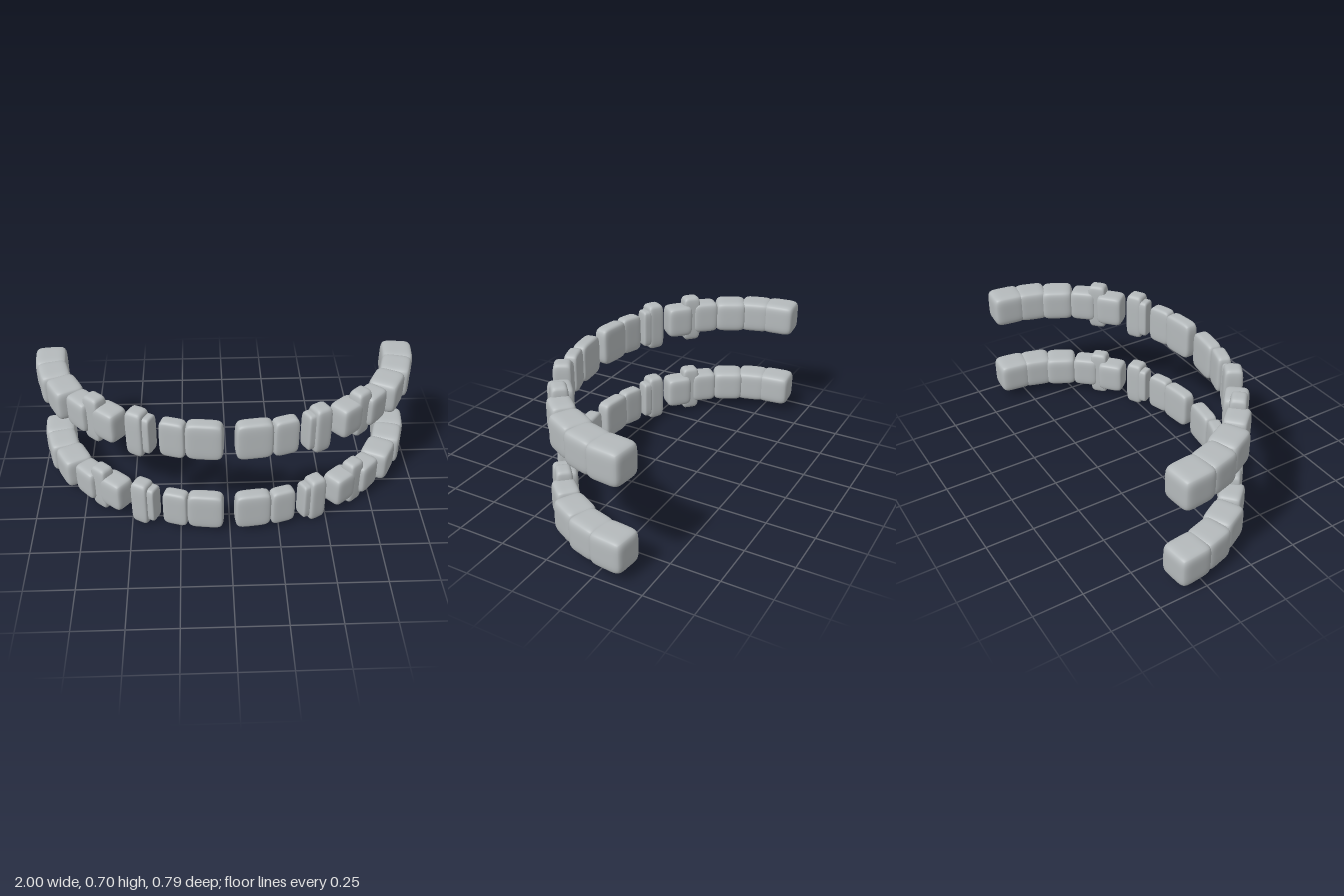
import * as THREE from 'three';
import { mergeVertices } from 'three/addons/utils/BufferGeometryUtils.js';

// Soft rounded block: a cube projected onto a superellipsoid.
function softBlock(power = 5.5, segments = 14) {
  const geo = new THREE.BoxGeometry(2, 2, 2, segments, segments, segments);
  geo.deleteAttribute('uv');
  geo.deleteAttribute('normal');
  const pos = geo.attributes.position;
  const v = new THREE.Vector3();
  const crowd = (t) => Math.sin((t * Math.PI) / 2); // more rows near the edges
  for (let i = 0; i < pos.count; i++) {
    v.fromBufferAttribute(pos, i);
    v.set(crowd(v.x), crowd(v.y), crowd(v.z));
    const n = Math.abs(v.x) ** power + Math.abs(v.y) ** power + Math.abs(v.z) ** power;
    v.multiplyScalar(n ** (-1 / power));
    pos.setXYZ(i, v.x, v.y, v.z);
  }
  const merged = mergeVertices(geo, 1e-4);
  merged.computeVertexNormals();
  return merged;
}

// One side of the arch, from the middle to the back:
// name, x, z, turn in degrees, width along the arch, depth, height
const TEETH = [
  ['centralIncisor', 0.118, 0.344, 7, 0.183, 0.08, 0.205],
  ['lateralIncisor', 0.267, 0.321, 18, 0.13, 0.074, 0.203],
  ['canineEdge', 0.385, 0.286, 30, 0.05, 0.08, 0.205],
  ['canine', 0.438, 0.265, 30, 0.095, 0.095, 0.255],
  ['firstPremolar', 0.578, 0.182, 41, 0.145, 0.12, 0.172],
  ['tallPeg', 0.648, 0.14, 42, 0.1, 0.085, 0.255],
  ['secondPremolar', 0.712, 0.085, 48, 0.145, 0.12, 0.172],
  ['firstMolar', 0.813, -0.036, 62, 0.172, 0.155, 0.172],
  ['secondMolar', 0.882, -0.17, 74, 0.17, 0.158, 0.172],
  ['thirdMolar', 0.912, -0.306, 84, 0.178, 0.164, 0.172],
];

export function createModel() {
  const model = new THREE.Group();
  model.name = 'dentalArches';
  const enamel = new THREE.MeshStandardMaterial({ color: 0xb5babc });
  enamel.name = 'greyEnamel';
  const block = softBlock();

  // Two identical arches, one above the other
  for (const [archName, y] of [['lowerArch', 0.129], ['upperArch', 0.572]]) {
    const arch = new THREE.Group();
    arch.name = archName;
    arch.position.y = y;
    for (const side of [1, -1]) {
      for (const [name, x, z, turn, width, depth, height] of TEETH) {
        const tooth = new THREE.Mesh(block, enamel);
        tooth.name = (side > 0 ? 'left_' : 'right_') + name;
        tooth.position.set(side * x - 0.003, 0, z);
        tooth.rotation.y = side * THREE.MathUtils.degToRad(turn);
        tooth.scale.set(width / 2, height / 2, depth / 2);
        arch.add(tooth);
      }
    }
    model.add(arch);
  }
  return model;
}
